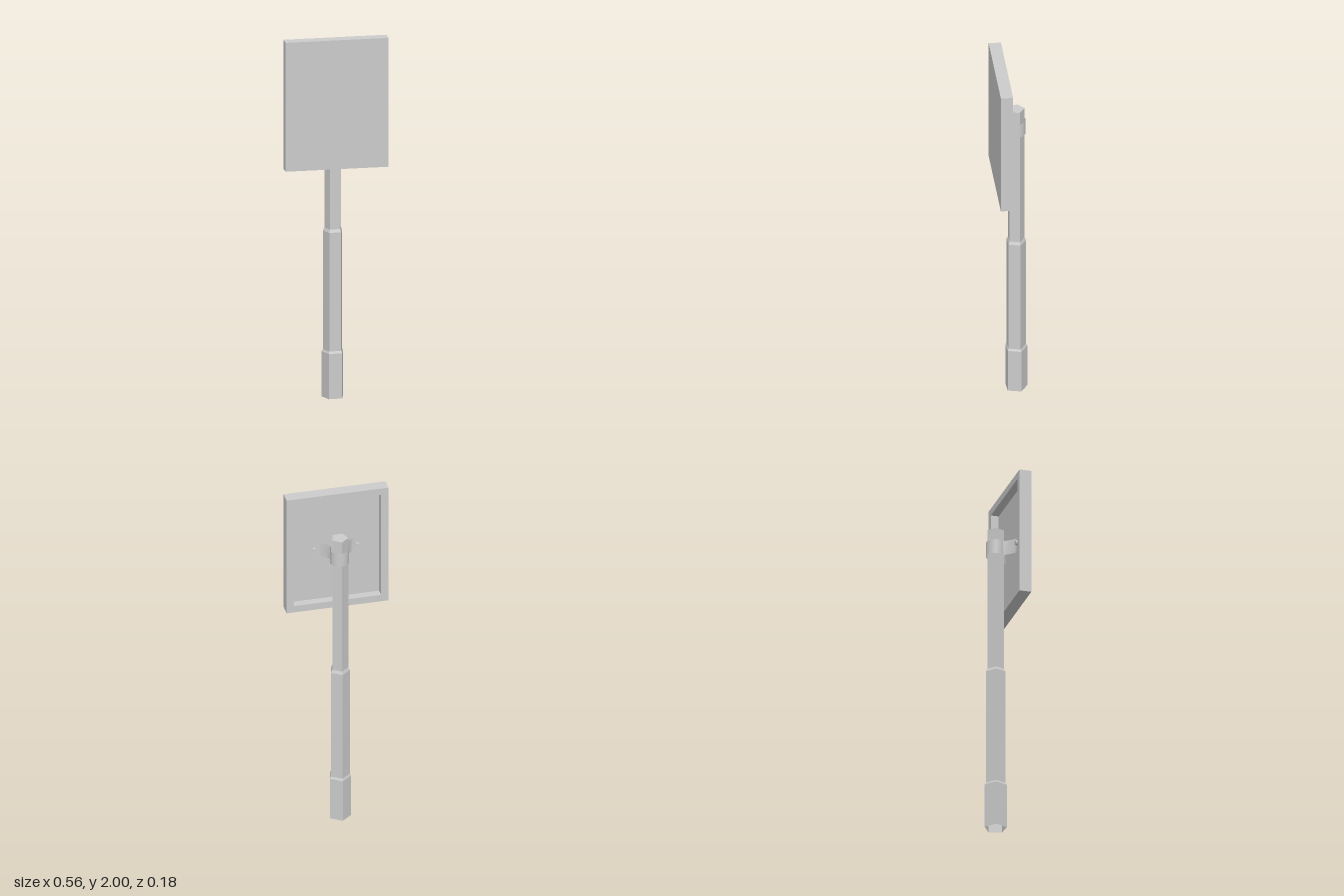
import * as THREE from 'three';

const POLE_Z = -0.0255;
const STRAP_Y = 1.642;

export function createModel() {
  const group = new THREE.Group();
  const flat = new THREE.MeshStandardMaterial({ color: 0xcccccc, flatShading: true, side: THREE.DoubleSide });
  const smooth = new THREE.MeshStandardMaterial({ color: 0xcccccc, side: THREE.DoubleSide });
  const add = (name, geometry, material = flat) => {
    const mesh = new THREE.Mesh(geometry, material);
    mesh.name = name;
    group.add(mesh);
    return mesh;
  };

  // Five-sided stepped pole, open underneath and closed on top
  const profile = [[0.0622, 0], [0.0622, 0.25], [0.0555, 0.262], [0.0555, 0.918],
    [0.047, 0.935], [0.047, 1.752], [0, 1.752]].map(([r, y]) => new THREE.Vector2(r, y));
  add('pole', new THREE.LatheGeometry(profile, 5, Math.PI + 0.055)).position.z = POLE_Z;

  // Sign panel: front plate with a raised rim around the back
  const w = 0.28, bottom = 1.287, top = 2, rim = 0.04;
  const rectangle = (target, x, y0, y1) => target.moveTo(-x, y0).lineTo(x, y0).lineTo(x, y1).lineTo(-x, y1).closePath();
  const rimShape = rectangle(new THREE.Shape(), w, bottom, top);
  rimShape.holes.push(rectangle(new THREE.Path(), w - rim, bottom + rim, top - rim));
  add('panelRim', new THREE.ExtrudeGeometry(rimShape, { depth: 0.044, bevelEnabled: false })).position.z = 0.022;
  add('panelPlate', new THREE.BoxGeometry(2 * w, top - bottom, 0.022)).position.set(0, (top + bottom) / 2, 0.077);

  // Clamp strap: half outline as [x, z, half height], from the back of the pole to an ear tip
  const half = [];
  for (let i = 0; i <= 12; i++) {
    const a = (i / 12) * 2.3;
    half.push([0.0515 * Math.sin(a), POLE_Z - 0.0515 * Math.cos(a), 0.041]);
  }
  half.push([0.06, 0.036, 0.041], [0.082, 0.057, 0.041], [0.092, 0.062, 0.041]);
  for (let i = 0; i <= 8; i++) {
    const a = (i / 8) * Math.PI / 2;
    half.push([0.105 + 0.038 * Math.sin(a), 0.063, 0.041 * Math.cos(a)]);
  }
  const path = [...half.slice(1).reverse().map(([x, z, h]) => [-x, z, h]), ...half];
  const positions = [], index = [];
  path.forEach(([x, z, h], i) => {
    positions.push(x, STRAP_Y - h, z, x, STRAP_Y + h, z);
    if (i) {
      const b = 2 * i;
      index.push(b - 2, b - 1, b, b, b - 1, b + 1);
    }
  });
  const strap = new THREE.BufferGeometry();
  strap.setAttribute('position', new THREE.Float32BufferAttribute(positions, 3));
  strap.setIndex(index);
  strap.computeVertexNormals();
  add('clampStrap', strap, smooth);

  // Bolts through the strap ears
  for (const side of [1, -1]) {
    const bolt = new THREE.CylinderGeometry(0.013, 0.013, 0.018, 8).rotateX(Math.PI / 2);
    add(side > 0 ? 'leftBolt' : 'rightBolt', bolt).position.set(side * 0.12, STRAP_Y, 0.056);
  }
  return group;
}
